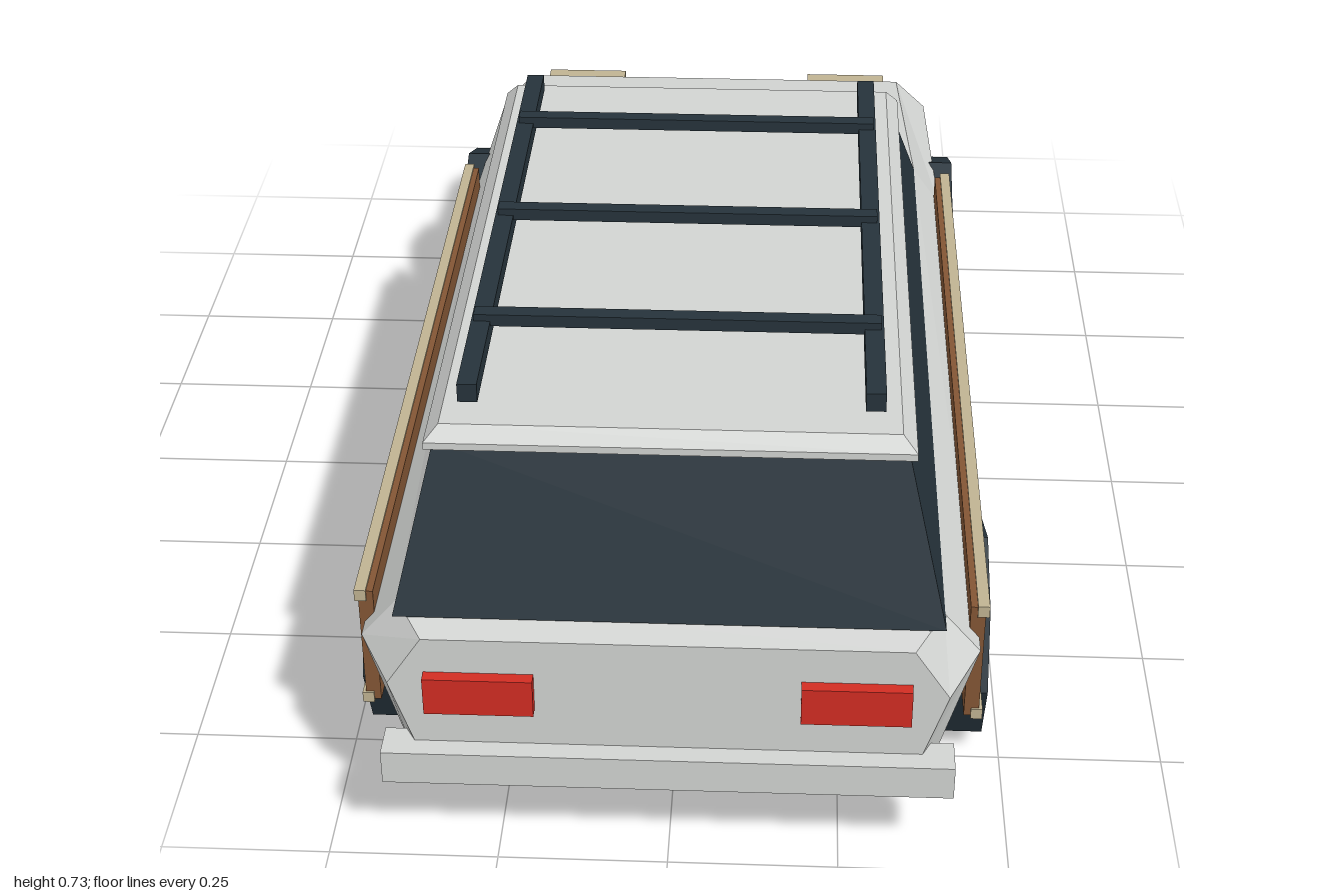
import * as THREE from 'three';

const mat = (name, color) => {
  const m = new THREE.MeshStandardMaterial({ color, flatShading: true });
  m.name = name;
  return m;
};

// Skin a list of closed rings (counter-clockwise seen from the first end) and cap both ends.
function loft(rings) {
  const pos = [];
  const tri = (a, b, c) => pos.push(...a, ...b, ...c);
  const n = rings[0].length;
  for (let r = 0; r < rings.length - 1; r++) {
    const a = rings[r], b = rings[r + 1];
    for (let i = 0; i < n; i++) {
      const j = (i + 1) % n;
      tri(a[i], b[i], b[j]);
      tri(a[i], b[j], a[j]);
    }
  }
  const first = rings[0], last = rings[rings.length - 1];
  for (let i = 1; i < n - 1; i++) {
    tri(first[0], first[i], first[i + 1]);
    tri(last[0], last[i + 1], last[i]);
  }
  const g = new THREE.BufferGeometry();
  g.setAttribute('position', new THREE.Float32BufferAttribute(pos, 3));
  g.computeVertexNormals();
  return g;
}

// Six-sided body section: floor, widest line and top.
const section = (z, floorX, floorY, midX, midY, topX, topY) => [
  [-floorX, floorY, z], [floorX, floorY, z], [midX, midY, z],
  [topX, topY, z], [-topX, topY, z], [-midX, midY, z],
];

// Horizontal rectangle, seen from above.
const rect = (y, x, zBack, zFront) => [[-x, y, zBack], [x, y, zBack], [x, y, zFront], [-x, y, zFront]];

export function createModel() {
  const car = new THREE.Group();
  car.name = 'stationWagon';

  const paint = mat('bodyPaint', 0xd2d4d2);
  const dark = mat('darkGlassAndRubber', 0x26333b);
  const wood = mat('woodPanel', 0x835635);
  const tan = mat('tanTrim', 0xc0b392);
  const red = mat('redLamp', 0xd22d23);

  const add = (name, geometry, material) => {
    const m = new THREE.Mesh(geometry, material);
    m.name = name;
    car.add(m);
    return m;
  };
  // Box given by its limits on each axis.
  const box = (name, material, x0, x1, y0, y1, z0, z1) => {
    const g = new THREE.BoxGeometry(x1 - x0, y1 - y0, z1 - z0);
    add(name, g, material).position.set((x0 + x1) / 2, (y0 + y1) / 2, (z0 + z1) / 2);
  };

  // Lower body from the tailgate to the nose
  add('body', loft([
    section(0.97, 0.35, 0.145, 0.40, 0.30, 0.348, 0.38),
    section(0.90, 0.385, 0.122, 0.445, 0.33, 0.39, 0.396),
    section(-0.43, 0.385, 0.122, 0.44, 0.33, 0.39, 0.40),
    section(-0.875, 0.385, 0.125, 0.428, 0.312, 0.37, 0.366),
    section(-0.965, 0.35, 0.142, 0.375, 0.28, 0.335, 0.308),
  ]), paint);

  // Cabin glass and roof panel
  add('cabinGlass', loft([
    rect(0.637, 0.332, 0.85, -0.20),
    rect(0.392, 0.392, 0.935, -0.44),
  ]), dark);
  add('roof', loft([
    rect(0.669, 0.322, 0.855, -0.21),
    rect(0.646, 0.343, 0.87, -0.224),
    rect(0.635, 0.343, 0.87, -0.224),
  ]), paint);

  // Bumpers
  box('tailBumper', paint, -0.412, 0.412, 0.14, 0.195, 0.945, 1.0);
  box('noseBumper', paint, -0.412, 0.412, 0.14, 0.195, -1.0, -0.945);

  const wheel = new THREE.CylinderGeometry(0.166, 0.166, 0.138, 8).rotateZ(Math.PI / 2);
  const hub = new THREE.CylinderGeometry(0.092, 0.092, 0.15, 6).rotateZ(Math.PI / 2);

  for (const [side, s] of [['left', 1], ['right', -1]]) {
    // Mirrored box: x limits are swapped on the right side
    const sideBox = (name, m, x0, x1, ...rest) =>
      box(side + name, m, s > 0 ? x0 : -x1, s > 0 ? x1 : -x0, ...rest);

    // Lamps
    sideBox('TailLamp', red, 0.19, 0.347, 0.26, 0.322, 0.95, 0.988);
    sideBox('Headlamp', tan, 0.19, 0.347, 0.263, 0.325, -0.988, -0.95);

    // Wooden side panel framed by two trim strips
    sideBox('WoodPanel', wood, 0.43, 0.452, 0.185, 0.385, -0.43, 0.87);
    sideBox('UpperTrim', tan, 0.44, 0.457, 0.369, 0.388, -0.44, 0.873);
    sideBox('LowerTrim', tan, 0.44, 0.457, 0.181, 0.199, -0.44, 0.873);

    // Roof rack rail
    sideBox('RackRail', dark, 0.27, 0.298, 0.686, 0.715, -0.157, 0.825);

    // Wheels with hubs
    for (const [end, z] of [['Nose', -0.59], ['Tail', 0.63]]) {
      add(side + end + 'Wheel', wheel, dark).position.set(s * 0.402, 0.166, z);
      add(side + end + 'Hub', hub, paint).position.set(s * 0.402, 0.168, z);
    }
  }

  // Roof rack crossbars
  [0.645, 0.33, 0.015].forEach((z, i) =>
    box('rackCrossbar' + (i + 1), dark, -0.294, 0.294, 0.707, 0.726, z - 0.012, z + 0.012));

  return car;
}
